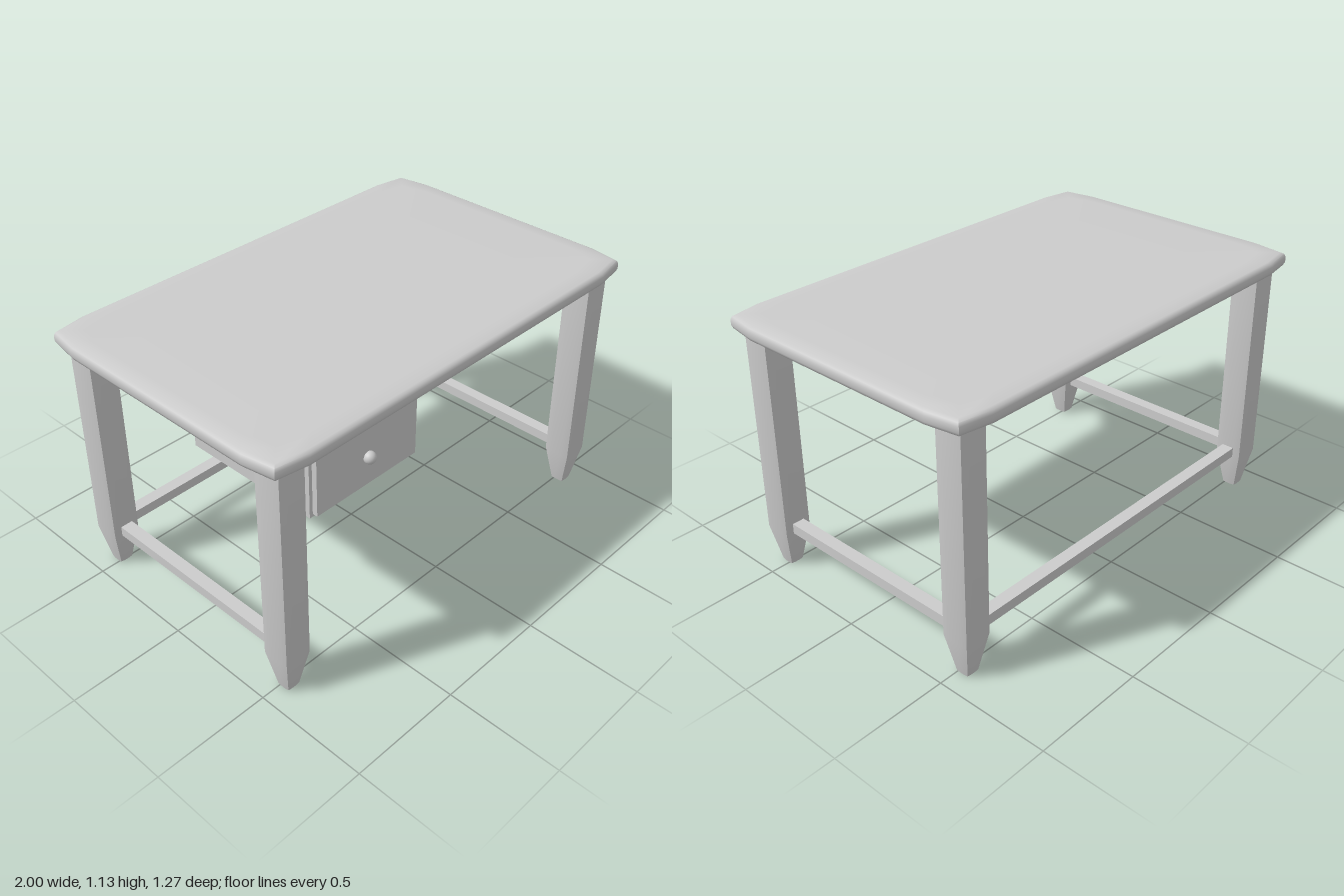
import * as THREE from 'three';
import { toCreasedNormals } from 'three/addons/utils/BufferGeometryUtils.js';

const material = new THREE.MeshStandardMaterial({ color: 0xcccccc });

// Rectangle with slightly bowed sides: a corner point and two side points per quadrant
function outline(hx, hz, cut, run) {
  const quadrant = [[hx, hz - run], [hx - cut, hz - cut], [hx - run, hz]];
  const points = [];
  for (const [sx, sz] of [[1, 1], [-1, 1], [-1, -1], [1, -1]]) {
    const part = quadrant.map(([x, z]) => [x * sx, z * sz]);
    points.push(...(sx * sz > 0 ? part : part.reverse()));
  }
  return points;
}

// Joins stacked rings { y, points } from bottom to top and closes both ends
function loft(rings) {
  const n = rings[0].points.length;
  const positions = [];
  const index = [];
  for (const { y, points } of rings) for (const [x, z] of points) positions.push(x, y, z);
  for (let r = 0; r < rings.length - 1; r++) {
    for (let i = 0; i < n; i++) {
      const a = r * n + i, b = r * n + (i + 1) % n;
      index.push(a, a + n, b, b, a + n, b + n);
    }
  }
  const last = rings.length - 1;
  const bottom = rings.length * n, top = bottom + 1;
  positions.push(0, rings[0].y, 0, 0, rings[last].y, 0);
  for (let i = 0; i < n; i++) {
    const j = (i + 1) % n;
    index.push(bottom, i, j, top, last * n + j, last * n + i);
  }
  const geometry = new THREE.BufferGeometry();
  geometry.setAttribute('position', new THREE.Float32BufferAttribute(positions, 3));
  geometry.setIndex(index);
  return toCreasedNormals(geometry, 0.85);
}

export function createModel() {
  const model = new THREE.Group();
  model.name = 'desk';

  function add(name, geometry, x, y, z) {
    const mesh = new THREE.Mesh(geometry, material);
    mesh.name = name;
    mesh.position.set(x, y, z);
    model.add(mesh);
    return mesh;
  }
  const box = (name, w, h, d, x, y, z) => add(name, new THREE.BoxGeometry(w, h, d), x, y, z);

  // Tabletop with bowed sides and a rounded rim: [inset, height]
  const rim = [[0.018, 1.07], [0.005, 1.077], [0, 1.09], [0, 1.113], [0.005, 1.126], [0.018, 1.133], [0.08, 1.135]];
  add('tabletop', loft(rim.map(([inset, y]) => ({
    y, points: outline(1 - inset, 0.629 - inset, 0.022, 0.16),
  }))), 0, 0, -0.006);

  // Legs with tapered feet: [half width, height]
  const legProfile = [[0.031, 0], [0.065, 0.17], [0.065, 1.075]];
  const legGeometry = loft(legProfile.map(([h, y]) => ({
    y, points: outline(h, h, h * 0.09, h * 0.6),
  })));
  for (const [sideName, x] of [['Left', 0.88], ['Right', -0.88]]) {
    add('front' + sideName + 'Leg', legGeometry, x, 0, 0.515);
    add('back' + sideName + 'Leg', legGeometry, x, 0, -0.52);
    // Side stretchers run between the front and back legs
    box('side' + sideName + 'Stretcher', 0.055, 0.045, 0.94, x, 0.192, 0);
  }
  box('backStretcher', 1.66, 0.045, 0.055, 0, 0.192, -0.52);

  // Drawer under the top at the right front
  box('drawerCase', 0.53, 0.265, 0.605, -0.543, 0.9425, 0.2775);
  box('drawerFront', 0.505, 0.24, 0.03, -0.541, 0.942, 0.587);
  add('drawerKnob', new THREE.SphereGeometry(0.025, 24, 16), -0.541, 0.942, 0.61);

  return model;
}
